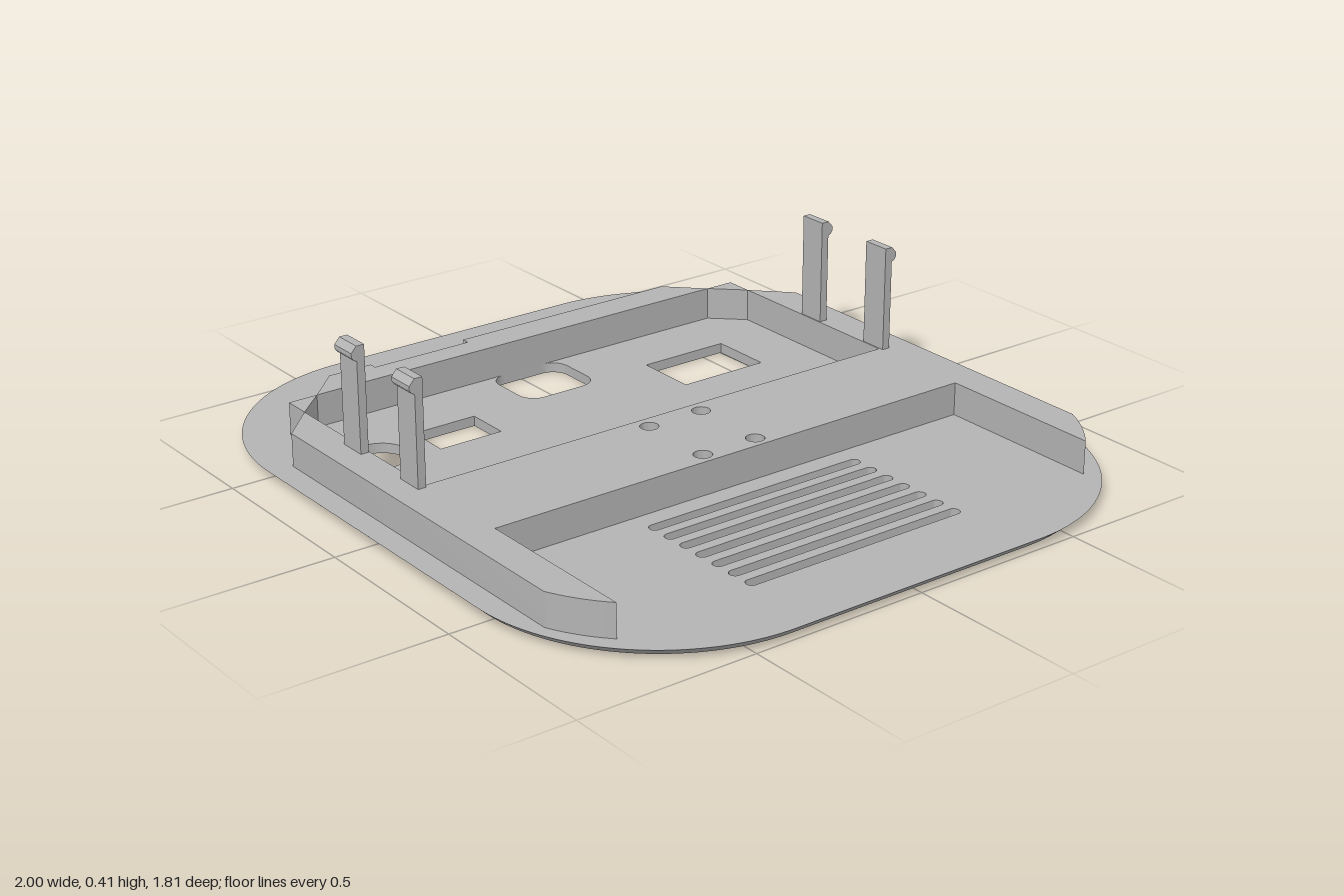
import * as THREE from 'three';
import { toCreasedNormals } from 'three/addons/utils/BufferGeometryUtils.js';

const PLATE_TOP = 0.028, WALL_TOP = 0.12;

// Rounded rectangle outline centred on (cx, cz)
function roundedRect(Type, cx, cz, w, d, r) {
  const p = new Type(), x = w / 2 - r, z = d / 2 - r;
  p.absarc(cx + x, cz + z, r, 0, Math.PI / 2);
  p.absarc(cx - x, cz + z, r, Math.PI / 2, Math.PI);
  p.absarc(cx - x, cz - z, r, Math.PI, Math.PI * 1.5);
  p.absarc(cx + x, cz - z, r, Math.PI * 1.5, Math.PI * 2);
  p.closePath();
  return p;
}

function circle(cx, cz, r) {
  const p = new THREE.Path();
  p.absarc(cx, cz, r, 0, Math.PI * 2);
  return p;
}

function polygon(Type, points) {
  return new Type(points.map(([x, z]) => new THREE.Vector2(x, z)));
}

function rect(Type, x0, x1, z0, z1) {
  return polygon(Type, [[x0, z0], [x1, z0], [x1, z1], [x0, z1]]);
}

// Extrude a plan drawn in (x, z) between two heights
function slab(shape, y0, y1) {
  const g = new THREE.ExtrudeGeometry(shape, { depth: y1 - y0, bevelEnabled: false, curveSegments: 20 });
  return g.rotateX(Math.PI / 2).translate(0, y1, 0);
}

export function createModel() {
  const group = new THREE.Group();
  const grey = new THREE.MeshStandardMaterial({ color: 0xb3b3b3 });
  grey.name = 'plain grey';
  const add = (name, geometry) => {
    const mesh = new THREE.Mesh(toCreasedNormals(geometry, 0.5), grey);
    mesh.name = name;
    group.add(mesh);
  };

  // Screw holes pass through both the plate and the raised block
  const screwHoles = [];
  for (const x of [0.047, 0.27]) for (const z of [-0.086, 0.083]) screwHoles.push(circle(x, z, 0.025));

  // Base plate with cut-outs and vent slots
  const plate = roundedRect(THREE.Shape, 0, 0, 2, 1.81, 0.52);
  plate.holes.push(
    rect(THREE.Path, -0.47, -0.29, -0.563, -0.297),
    rect(THREE.Path, -0.46, -0.333, 0.287, 0.476),
    roundedRect(THREE.Path, -0.553, -0.004, 0.196, 0.228, 0.05),
    circle(-0.393, 0.626, 0.08),
    ...screwHoles
  );
  for (let i = 0; i < 7; i++) {
    plate.holes.push(roundedRect(THREE.Path, 0.382 + i * 0.0627, -0.003, 0.032, 0.676, 0.0158));
  }
  const plateGeo = slab(plate, 0, PLATE_TOP);
  // Draw the lower rim inward so that the edge is undercut
  const pos = plateGeo.attributes.position;
  for (let i = 0; i < pos.count; i++) {
    const x = pos.getX(i), z = pos.getZ(i);
    if (pos.getY(i) < 0.01 && (Math.abs(x) > 0.81 || Math.abs(z) > 0.72)) {
      pos.setX(i, x * 0.97);
      pos.setZ(i, z * 0.967);
    }
  }
  plateGeo.computeVertexNormals();
  add('basePlate', plateGeo);

  // Raised cross block
  const block = rect(THREE.Shape, 0.003, 0.31, -0.74, 0.74);
  block.holes.push(...screwHoles);
  add('crossBlock', slab(block, PLATE_TOP, WALL_TOP));

  // End wall with a shallow notch on its outer side
  add('endWall', slab(polygon(THREE.Shape, [
    [-0.65, -0.655], [-0.65, 0.655], [-0.745, 0.56], [-0.745, 0.43],
    [-0.722, 0.43], [-0.722, 0.13], [-0.745, 0.13], [-0.745, -0.56]
  ]), PLATE_TOP, WALL_TOP));

  for (const s of [1, -1]) {
    const side = s > 0 ? 'front' : 'back';

    // Long side wall, curved at one end
    const wall = new THREE.Shape();
    wall.moveTo(-0.57, s * 0.74);
    wall.lineTo(0.795, s * 0.74);
    wall.quadraticCurveTo(0.73, s * 0.803, 0.65, s * 0.838);
    wall.lineTo(-0.47, s * 0.838);
    wall.closePath();
    add(side + 'Wall', slab(wall, PLATE_TOP, WALL_TOP));

    // Triangular corner post
    add(side + 'CornerPost', slab(polygon(THREE.Shape, [
      [-0.65, s * 0.655], [-0.57, s * 0.74], [-0.65, s * 0.74]
    ]), PLATE_TOP, WALL_TOP));

    // Snap clips with an outward hook
    for (const x of [-0.29, -0.025]) {
      const clip = polygon(THREE.Shape, [
        [0.743, WALL_TOP], [0.766, WALL_TOP], [0.766, 0.372], [0.775, 0.376],
        [0.781, 0.385], [0.781, 0.396], [0.766, 0.413], [0.743, 0.413]
      ]);
      const g = new THREE.ExtrudeGeometry(clip, { depth: 0.08, bevelEnabled: false });
      g.translate(0, 0, -0.04).rotateY(-s * Math.PI / 2).translate(x, 0, 0);
      add(side + 'Clip', g);
    }
  }
  return group;
}
